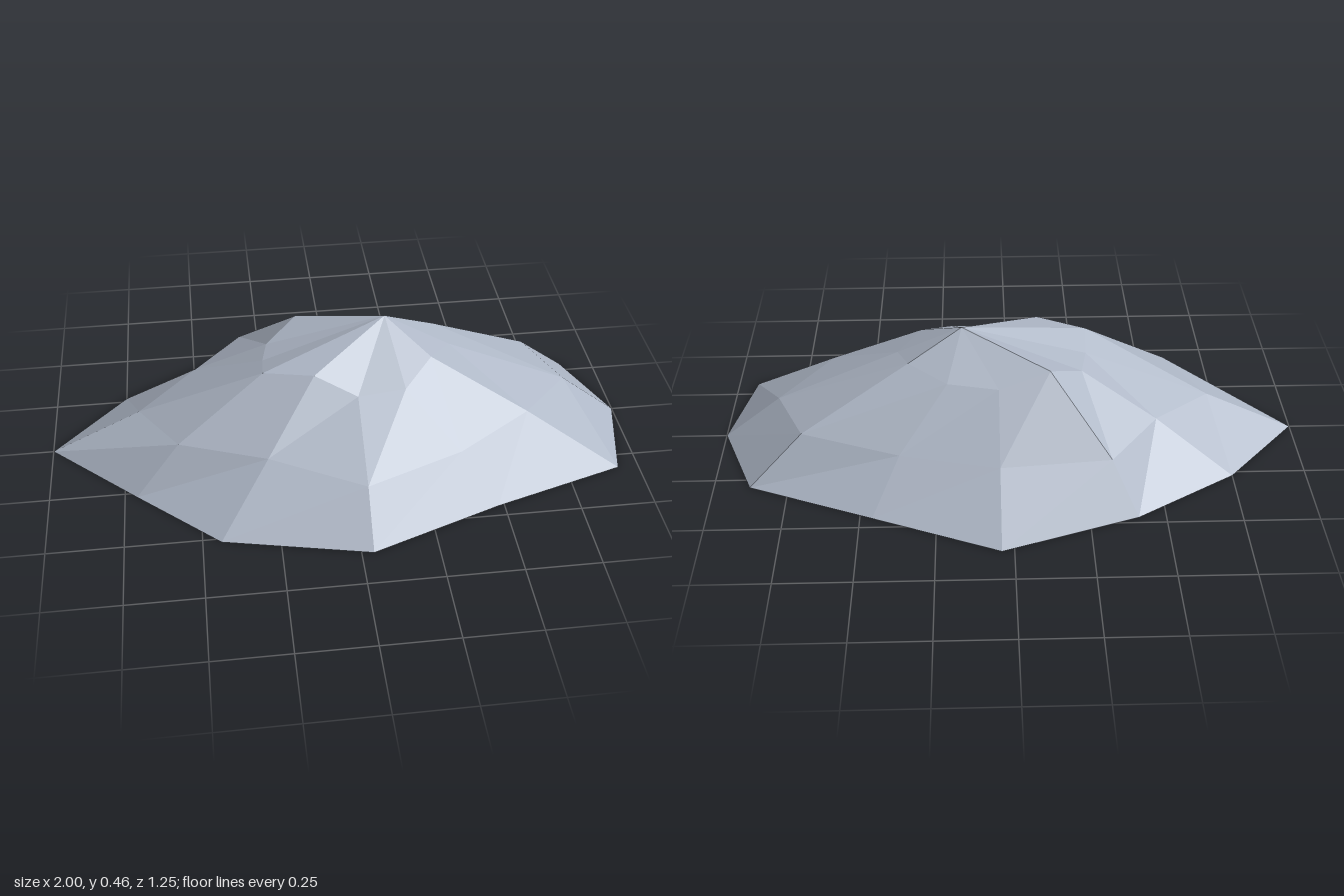
import * as THREE from 'three';

// Rings of [x, y, z], every 30 degrees counterclockwise seen from above, from +x.
const foot = [
  [1, 0, 0], [0.88, 0, -0.29], [0.46, 0, -0.457], [0.04, 0, -0.625],
  [-0.41, 0, -0.475], [-0.75, 0, -0.27], [-1, 0, 0], [-0.71, 0, 0.27],
  [-0.44, 0, 0.515], [0.04, 0, 0.62], [0.48, 0, 0.455], [0.93, 0, 0.315],
];
const slope = [
  [0.8, 0.16, 0], [0.7, 0.17, -0.22], [0.37, 0.15, -0.32], [0.04, 0.155, -0.4],
  [-0.325, 0.165, -0.38], [-0.49, 0.18, -0.18], [-0.69, 0.15, 0], [-0.56, 0.165, 0.21],
  [-0.27, 0.18, 0.335], [0.04, 0.147, 0.47], [0.37, 0.15, 0.34], [0.62, 0.19, 0.205],
];
const shoulder = [
  [0.38, 0.345, 0], [0.34, 0.365, -0.1], [0.21, 0.335, -0.18], [0.04, 0.33, -0.21],
  [-0.13, 0.38, -0.18], [-0.24, 0.325, -0.1], [-0.26, 0.33, 0], [-0.265, 0.36, 0.11],
  [-0.1, 0.375, 0.165], [0.04, 0.31, 0.21], [0.2, 0.32, 0.2], [0.3, 0.37, 0.1],
];
const peak = [0.16, 0.46, -0.03];

function facets(triangles, material, name) {
  const geometry = new THREE.BufferGeometry();
  geometry.setAttribute('position', new THREE.Float32BufferAttribute(triangles.flat(2), 3));
  geometry.computeVertexNormals();
  const mesh = new THREE.Mesh(geometry, material);
  mesh.name = name;
  return mesh;
}

// Triangles joining one ring to the next one up
function band(low, high) {
  return low.flatMap((p, i) => {
    const j = (i + 1) % low.length;
    return [[p, low[j], high[j]], [p, high[j], high[i]]];
  });
}

// Triangles joining a ring to a single point
function fan(ring, tip) {
  return ring.map((p, i) => [p, ring[(i + 1) % ring.length], tip]);
}

export function createModel() {
  const stone = new THREE.MeshStandardMaterial({ color: 0xaeb7c6, flatShading: true });
  stone.name = 'blue grey stone';

  const group = new THREE.Group();
  group.name = 'rock';
  group.add(
    facets(band(foot, slope), stone, 'lowerSlope'),
    facets(band(slope, shoulder), stone, 'upperSlope'),
    facets(fan(shoulder, peak), stone, 'summit'),
    facets(fan([...foot].reverse(), [0.04, 0, 0]), stone, 'underside'),
  );
  return group;
}
